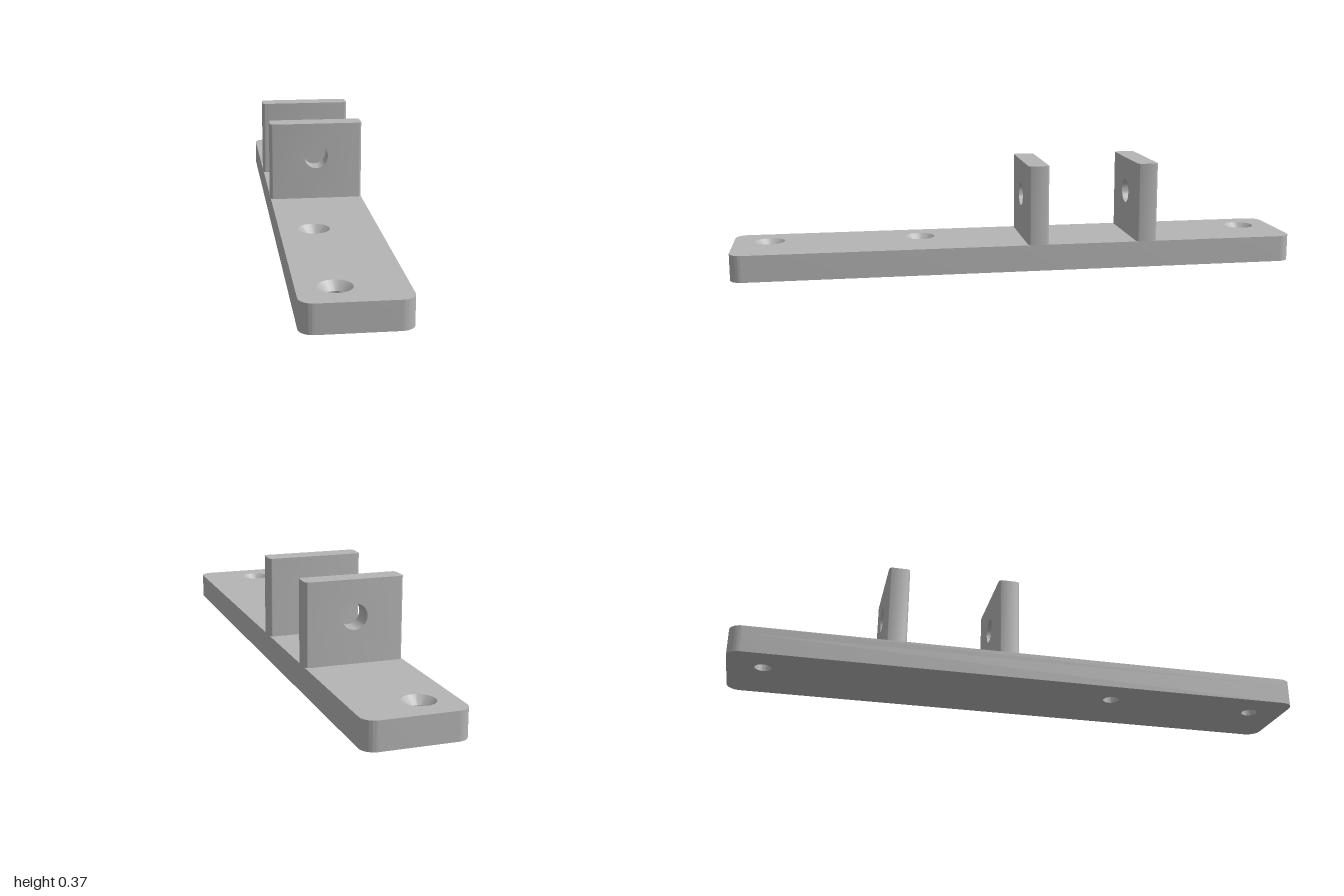
import * as THREE from 'three';
import { toCreasedNormals } from 'three/addons/utils/BufferGeometryUtils.js';

const HALF_W = 0.167, BASE_H = 0.093, TOP = 0.372;
const SCREW_X = -0.05, SCREW_Z = [-0.88, 0.34, 0.875];
const SINK_R = 0.053, SCREW_R = 0.028, SINK_DEPTH = 0.026;

function circle(x, y, r) {
  return new THREE.Path().absarc(x, y, r, 0, Math.PI * 2, true);
}

// Rounded base bar with three countersunk screw holes
function baseGeometry() {
  const r = 0.045, w = HALF_W - r, l = 1 - r;
  const shape = new THREE.Shape();
  shape.absarc(w, l, r, 0, Math.PI / 2);
  shape.absarc(-w, l, r, Math.PI / 2, Math.PI);
  shape.absarc(-w, -l, r, Math.PI, Math.PI * 1.5);
  shape.absarc(w, -l, r, Math.PI * 1.5, Math.PI * 2);
  for (const z of SCREW_Z) shape.holes.push(circle(SCREW_X, -z, SINK_R));

  const geo = new THREE.ExtrudeGeometry(shape, { depth: BASE_H, steps: 2, bevelEnabled: false, curveSegments: 16 });
  geo.rotateX(-Math.PI / 2);
  // Below the countersink, narrow each hole to the screw diameter
  const p = geo.attributes.position;
  for (let i = 0; i < p.count; i++) {
    const y = p.getY(i);
    if (y > BASE_H * 0.9) continue;
    if (y > BASE_H * 0.1) p.setY(i, BASE_H - SINK_DEPTH);
    for (const z of SCREW_Z) {
      const dx = p.getX(i) - SCREW_X, dz = p.getZ(i) - z;
      if (Math.hypot(dx, dz) > SINK_R + 0.001) continue;
      p.setX(i, SCREW_X + dx * SCREW_R / SINK_R);
      p.setZ(i, z + dz * SCREW_R / SINK_R);
      break;
    }
  }
  return toCreasedNormals(geo, Math.PI / 6);
}

// Upright lug with a pin hole and rounded vertical edges
function lugGeometry() {
  const depth = 0.074, r = 0.013, n = 5, steps = 2 * n + 1;
  const shape = new THREE.Shape();
  shape.moveTo(-HALF_W, BASE_H);
  shape.lineTo(HALF_W, BASE_H);
  shape.lineTo(HALF_W, TOP);
  shape.lineTo(-HALF_W, TOP);
  shape.closePath();
  shape.holes.push(circle(0, 0.249, 0.043));

  const geo = new THREE.ExtrudeGeometry(shape, { depth, steps, bevelEnabled: false, curveSegments: 20 });
  // Space the layers along a quarter arc at each face and draw the sides in to match
  const p = geo.attributes.position;
  for (let i = 0; i < p.count; i++) {
    const k = Math.round(p.getZ(i) / depth * steps);
    const a = Math.min(k, steps - k) / n * Math.PI / 2;
    const z = depth / 2 - r * (1 - Math.cos(Math.min(a, Math.PI / 2)));
    p.setZ(i, k <= n ? -z : z);
    const x = p.getX(i);
    if (Math.abs(x) > HALF_W - 0.001) p.setX(i, Math.sign(x) * (HALF_W - r * (1 - Math.sin(a))));
  }
  return toCreasedNormals(geo, Math.PI / 6);
}

export function createModel() {
  const group = new THREE.Group();
  group.name = 'clevisBracket';
  const grey = new THREE.MeshStandardMaterial({ color: 0xb4b4b4 });
  grey.name = 'grey';

  const base = new THREE.Mesh(baseGeometry(), grey);
  base.name = 'basePlate';
  group.add(base);

  const lug = lugGeometry();
  for (const [name, z] of [['frontLug', -0.062], ['rearLug', -0.453]]) {
    const mesh = new THREE.Mesh(lug, grey);
    mesh.name = name;
    mesh.position.z = z;
    group.add(mesh);
  }
  return group;
}
